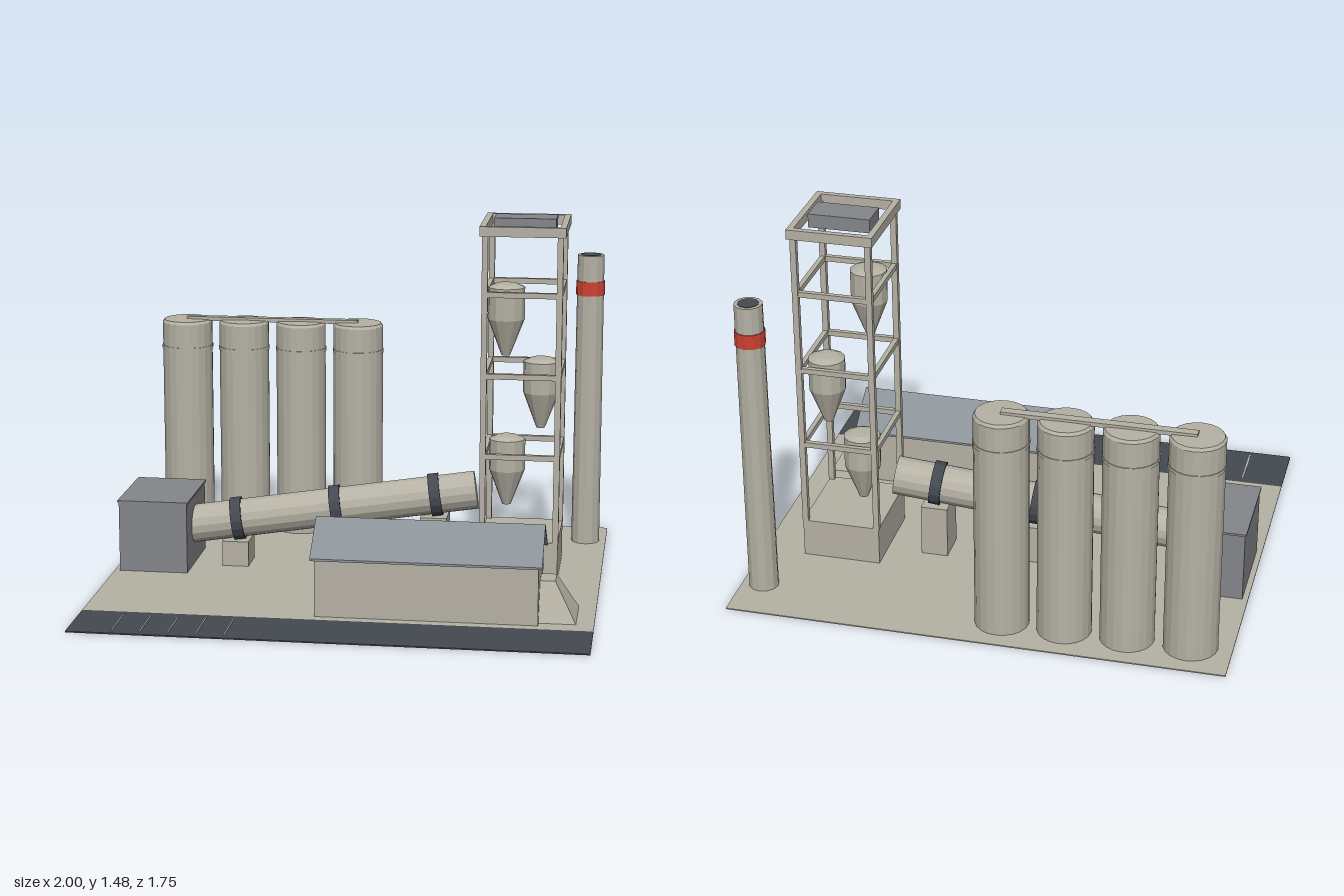
import * as THREE from 'three';

const mat = (name, color, side = THREE.FrontSide) => {
  const m = new THREE.MeshStandardMaterial({ color, side, flatShading: true });
  m.name = name;
  return m;
};

export function createModel() {
  const concrete = mat('concrete', 0xb5b1a4);
  const steel = mat('grey steel', 0x85868a);
  const roofing = mat('roof sheet', 0x8a9197, THREE.DoubleSide);
  const dark = mat('dark asphalt', 0x444951);
  const red = mat('warning red', 0xcc4232);

  const root = new THREE.Group();
  root.name = 'cementPlant';

  const group = (name, x = 0, y = 0, z = 0) => {
    const g = new THREE.Group();
    g.name = name;
    g.position.set(x, y, z);
    root.add(g);
    return g;
  };
  const add = (parent, name, geometry, material, x = 0, y = 0, z = 0) => {
    const m = new THREE.Mesh(geometry, material);
    m.name = name;
    m.position.set(x, y, z);
    parent.add(m);
    return m;
  };
  // box given by its min and max corners
  const box = (parent, name, material, x0, x1, y0, y1, z0, z1) =>
    add(parent, name, new THREE.BoxGeometry(x1 - x0, y1 - y0, z1 - z0), material,
      (x0 + x1) / 2, (y0 + y1) / 2, (z0 + z1) / 2);
  const lathe = (points, sides) =>
    new THREE.LatheGeometry(points.map(([r, y]) => new THREE.Vector2(r, y)), sides);

  // Yard and road with parking lines
  const site = group('site');
  box(site, 'yard', concrete, -1, 1, 0, 0.005, -0.877, 0.6);
  box(site, 'road', dark, -1, 1, 0, 0.005, 0.6, 0.87);
  for (let i = 0; i < 5; i++) {
    const x = -0.825 + i * 0.109;
    box(site, 'parkingLine', concrete, x - 0.003, x + 0.003, 0.004, 0.007, 0.63, 0.84);
  }

  // Row of storage silos with a conveyor across the tops
  const silos = group('silos', 0, 0, -0.705);
  const siloShape = lathe([[0, 0], [0.108, 0], [0.108, 0.918], [0.1, 0.93], [0, 0.932]], 20);
  const siloBand = new THREE.CylinderGeometry(0.111, 0.111, 0.014, 20);
  for (let i = 0; i < 4; i++) {
    const x = -0.835 + i * 0.25;
    add(silos, 'silo', siloShape, concrete, x);
    add(silos, 'siloBand', siloBand, concrete, x, 0.81);
  }
  box(silos, 'siloConveyor', concrete, -0.835, -0.085, 0.925, 0.942, -0.018, 0.018);

  // Burner house at the low end of the kiln
  const house = group('burnerHouse');
  box(house, 'burnerHouseWalls', steel, -0.977, -0.693, 0.002, 0.296, -0.33, 0.052);
  box(house, 'burnerHouseRoof', steel, -0.982, -0.688, 0.296, 0.305, -0.335, 0.057);

  // Sloping rotary kiln with riding rings on piers
  const kiln = group('kiln');
  const low = new THREE.Vector3(-0.72, 0.165, -0.128);
  const high = new THREE.Vector3(0.475, 0.328, -0.235);
  const along = high.clone().sub(low);
  const turn = new THREE.Quaternion().setFromUnitVectors(
    new THREE.Vector3(0, 1, 0), along.clone().normalize());
  const onAxis = (name, r, length, material, p) => {
    const m = add(kiln, name, new THREE.CylinderGeometry(r, r, length, 16), material, p.x, p.y, p.z);
    m.quaternion.copy(turn);
  };
  onAxis('kilnShell', 0.08, along.length(), concrete, low.clone().lerp(high, 0.5));
  for (const x of [-0.515, -0.105, 0.305]) {
    const p = low.clone().lerp(high, (x - low.x) / along.x);
    onAxis('kilnRing', 0.09, 0.045, dark, p);
    box(kiln, 'kilnPier', concrete, x - 0.055, x + 0.055, 0, p.y - 0.083, p.z - 0.07, p.z + 0.07);
  }

  // Preheater tower: base, open frame, roof unit
  const tower = group('preheaterTower', 0.665, 0, -0.225);
  box(tower, 'towerBase', concrete, -0.16, 0.16, 0, 0.165, -0.185, 0.185);
  for (const sx of [-1, 1]) for (const sz of [-1, 1]) {
    box(tower, 'towerPost', concrete, sx * 0.15 - 0.012, sx * 0.15 + 0.012, 0.16, 1.43,
      sz * 0.174 - 0.012, sz * 0.174 + 0.012);
  }
  const ring = (name, y, h, hx, hz, w) => {
    for (const s of [-1, 1]) {
      box(tower, name, concrete, -hx, hx, y - h / 2, y + h / 2, s * hz - w / 2, s * hz + w / 2);
      box(tower, name, concrete, s * hx - w / 2, s * hx + w / 2, y - h / 2, y + h / 2,
        -hz - w / 2, hz + w / 2);
    }
  };
  for (const y of [0.517, 0.85, 1.183]) ring('towerBeam', y, 0.022, 0.15, 0.174, 0.02);
  ring('towerTopFrame', 1.44, 0.04, 0.16, 0.184, 0.025);
  box(tower, 'towerRoofUnit', steel, -0.125, 0.125, 1.42, 1.476, -0.065, 0.06);

  // Cyclones staggered up the tower
  const cyclone = lathe([[0, 0], [0.018, 0], [0.075, 0.15], [0.075, 0.28], [0.045, 0.293], [0, 0.295]], 12);
  for (const [x, y, z] of [[-0.07, 0.92, 0.075], [0.067, 0.587, -0.08], [-0.07, 0.255, -0.08]]) {
    add(tower, 'cyclone', cyclone, concrete, x, y, z);
  }

  // Chimney with a warning band and a dark mouth
  const chimney = group('chimney', 0.912, 0, -0.668);
  add(chimney, 'chimneyStack', new THREE.CylinderGeometry(0.056, 0.06, 1.255, 12), concrete, 0, 0.6275);
  add(chimney, 'chimneyBand', new THREE.CylinderGeometry(0.0605, 0.0605, 0.06, 12), red, 0, 1.115);
  add(chimney, 'chimneyMouth', new THREE.CylinderGeometry(0.042, 0.042, 0.004, 12), dark, 0, 1.255);

  // Storage hall: gabled walls and an overhanging sheet roof
  const hall = group('storageHall', 0, 0, 0.405);
  const extrudeX = (points, x0, x1) => {
    const shape = new THREE.Shape(points.map(([z, y]) => new THREE.Vector2(-z, y)));
    return new THREE.ExtrudeGeometry(shape, { depth: x1 - x0, bevelEnabled: false })
      .rotateY(Math.PI / 2).translate(x0, 0, 0);
  };
  add(hall, 'hallWalls', extrudeX(
    [[-0.155, 0], [0.155, 0], [0.155, 0.243], [0, 0.355], [-0.155, 0.243]], -0.085, 0.785), concrete);
  add(hall, 'hallRoof', extrudeX(
    [[-0.173, 0.234], [0, 0.358], [0.173, 0.234], [0.173, 0.243], [0, 0.367], [-0.173, 0.243]],
    -0.1, 0.8), roofing);

  // Flat-topped material heap at the hall end
  const heap = new THREE.CylinderGeometry(0.05 * Math.SQRT2, 0.123 * Math.SQRT2, 0.155, 4)
    .rotateY(Math.PI / 4);
  add(hall, 'materialHeap', heap, concrete, 0.785, 0.0775, 0).scale.x = 1.2;

  return root;
}
